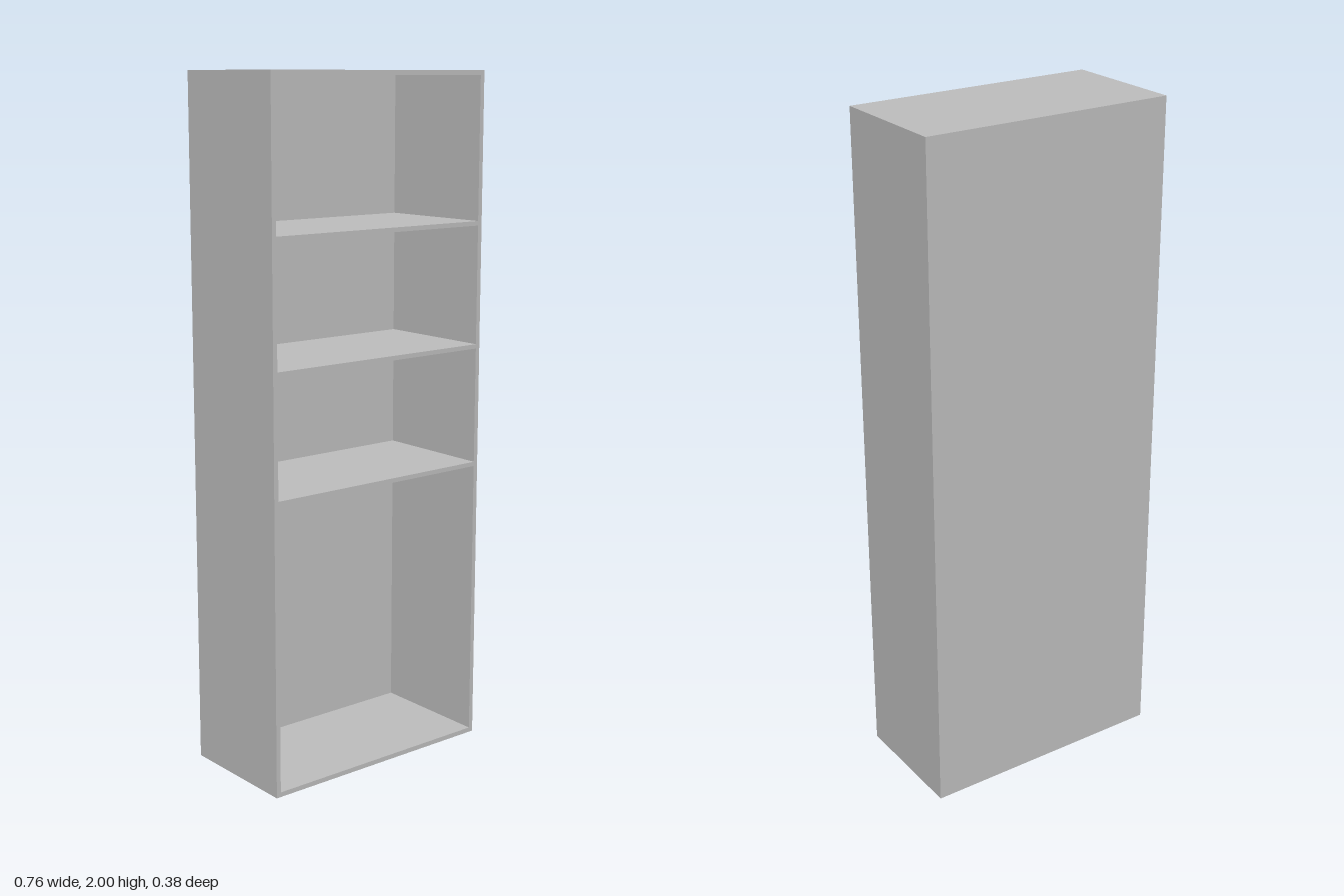
import * as THREE from 'three';

const W = 0.756, H = 2, D = 0.378; // outer size
const T = 0.014;                   // panel thickness
const BACK = 0.01;                 // back panel thickness

export function createModel() {
  const bookcase = new THREE.Group();
  bookcase.name = 'bookcase';

  const grey = new THREE.MeshStandardMaterial({ color: 0xbfbfbf });
  grey.name = 'grey';

  const panel = (name, w, h, d, x, y, z) => {
    const mesh = new THREE.Mesh(new THREE.BoxGeometry(w, h, d), grey);
    mesh.name = name;
    mesh.position.set(x, y, z);
    bookcase.add(mesh);
  };

  const innerW = W - 2 * T;
  const innerD = D - BACK;

  // Full-height sides
  panel('leftSide', T, H, D, (W - T) / 2, H / 2, 0);
  panel('rightSide', T, H, D, -(W - T) / 2, H / 2, 0);

  // Top and bottom between the sides
  panel('top', innerW, T, D, 0, H - T / 2, 0);
  panel('bottom', innerW, T, D, 0, T / 2, 0);

  // Back closing the frame
  panel('back', innerW, H - 2 * T, BACK, 0, H / 2, -(D - BACK) / 2);

  // Shelves, flush with the front edge
  [0.853, 1.208, 1.568].forEach((y, i) =>
    panel(`shelf${i + 1}`, innerW, 0.013, innerD, 0, y, BACK / 2));

  return bookcase;
}
